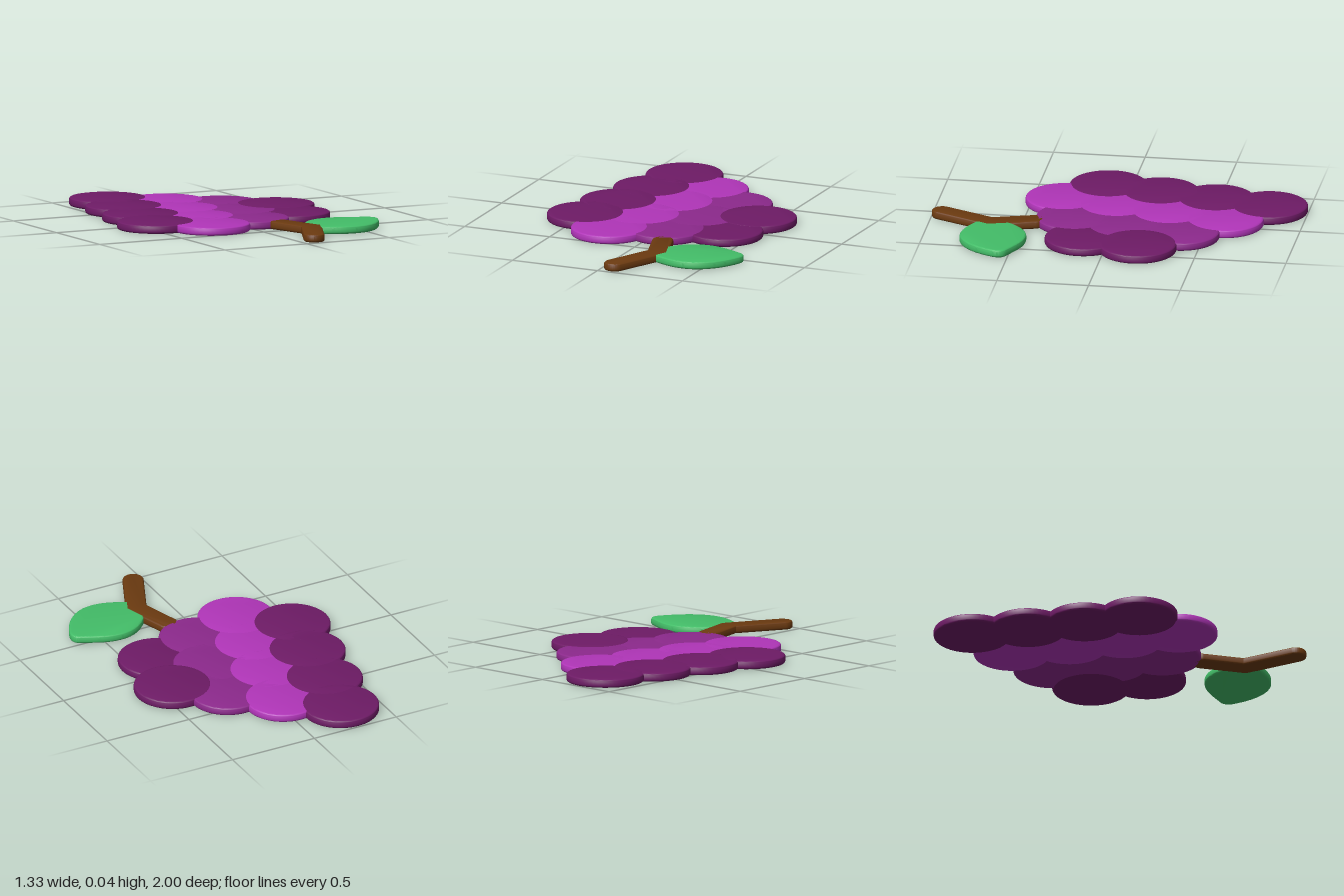
import * as THREE from 'three';
import { toCreasedNormals } from 'three/addons/utils/BufferGeometryUtils.js';

const HEIGHT = 0.042;
const BEVEL = 0.012;

// Flat slab with rounded rims, lying on the ground; shape y points to -z
function slab(name, shape, color, lift = 0) {
  const flat = new THREE.ExtrudeGeometry(shape, {
    depth: HEIGHT + 2 * lift - 2 * BEVEL,
    bevelThickness: BEVEL, bevelSize: BEVEL, bevelOffset: -BEVEL, bevelSegments: 4,
    curveSegments: 28,
  });
  flat.rotateX(-Math.PI / 2);
  flat.translate(0, BEVEL + 0.002 - lift, 0);
  const mesh = new THREE.Mesh(toCreasedNormals(flat, 0.6), new THREE.MeshStandardMaterial({ color }));
  mesh.name = name;
  return mesh;
}

// Grape columns: each is slightly thicker than the one it overlaps
const GRAPE_RADIUS = 0.21;
const COLUMNS = [
  { name: 'rightLowerGrape', color: 0x6e1b66, lift: 0, at: [[0.365, 0.125]] },
  { name: 'middleGrape', color: 0x8c298c, lift: 0.0005, at: [[0.2, -0.38], [0.14, -0.07], [0.065, 0.22]] },
  { name: 'brightGrape', color: 0xb035b8, lift: 0.001,
    at: [[-0.03, -0.585], [-0.1, -0.275], [-0.165, 0.025], [-0.225, 0.32]] },
  { name: 'darkGrape', color: 0x6e1b66, lift: 0.0015,
    at: [[-0.27, -0.79], [-0.33, -0.49], [-0.39, -0.18], [-0.455, 0.115], [0.43, -0.18]] },
];

function grapes() {
  const group = new THREE.Group();
  group.name = 'grapes';
  for (const { name, color, lift, at } of COLUMNS) {
    at.forEach(([x, z], i) => {
      const disc = new THREE.Shape().absarc(0, 0, GRAPE_RADIUS, 0, Math.PI * 2);
      const grape = slab(`${name}${i + 1}`, disc, color, lift);
      grape.position.set(x, 0, z);
      group.add(grape);
    });
  }
  return group;
}

// Bent stem: round ends and a mitred elbow
function stem() {
  const r = 0.057, q = Math.PI / 2;
  const foot = new THREE.Vector2(0.075, -0.94);
  const elbow = new THREE.Vector2(0.205, -0.66);
  const tip = new THREE.Vector2(0.135, -0.43);
  const a = elbow.clone().sub(foot).angle();
  const b = tip.clone().sub(elbow).angle();
  const mitre = r / Math.cos((b - a) / 2);
  const corner = (side) => {
    const angle = (a + b) / 2 + side * q;
    return [elbow.x + mitre * Math.cos(angle), elbow.y + mitre * Math.sin(angle)];
  };
  const shape = new THREE.Shape();
  shape.absarc(foot.x, foot.y, r, a + q, a + 3 * q);
  shape.lineTo(...corner(-1));
  shape.absarc(tip.x, tip.y, r, b - q, b + q);
  shape.lineTo(...corner(1));
  shape.closePath();
  return slab('stem', shape, 0x6b3a10, 0.0005);
}

// Leaf: one half outline repeated after a half turn
function leaf() {
  const shape = new THREE.Shape();
  shape.moveTo(0.225, 0.105);
  for (const s of [1, -1]) {
    shape.quadraticCurveTo(s * 0.258, s * 0.085, s * 0.248, s * 0.04);
    shape.bezierCurveTo(s * 0.2, s * -0.09, s * 0.11, s * -0.18, 0, s * -0.18);
    shape.bezierCurveTo(s * -0.08, s * -0.18, s * -0.13, s * -0.15, s * -0.225, s * -0.105);
  }
  const mesh = slab('leaf', shape, 0x43bd68);
  mesh.position.set(0.41, 0, 0.613);
  return mesh;
}

export function createModel() {
  const model = new THREE.Group();
  model.name = 'grapeBunch';
  model.add(grapes(), stem(), leaf());
  return model;
}
